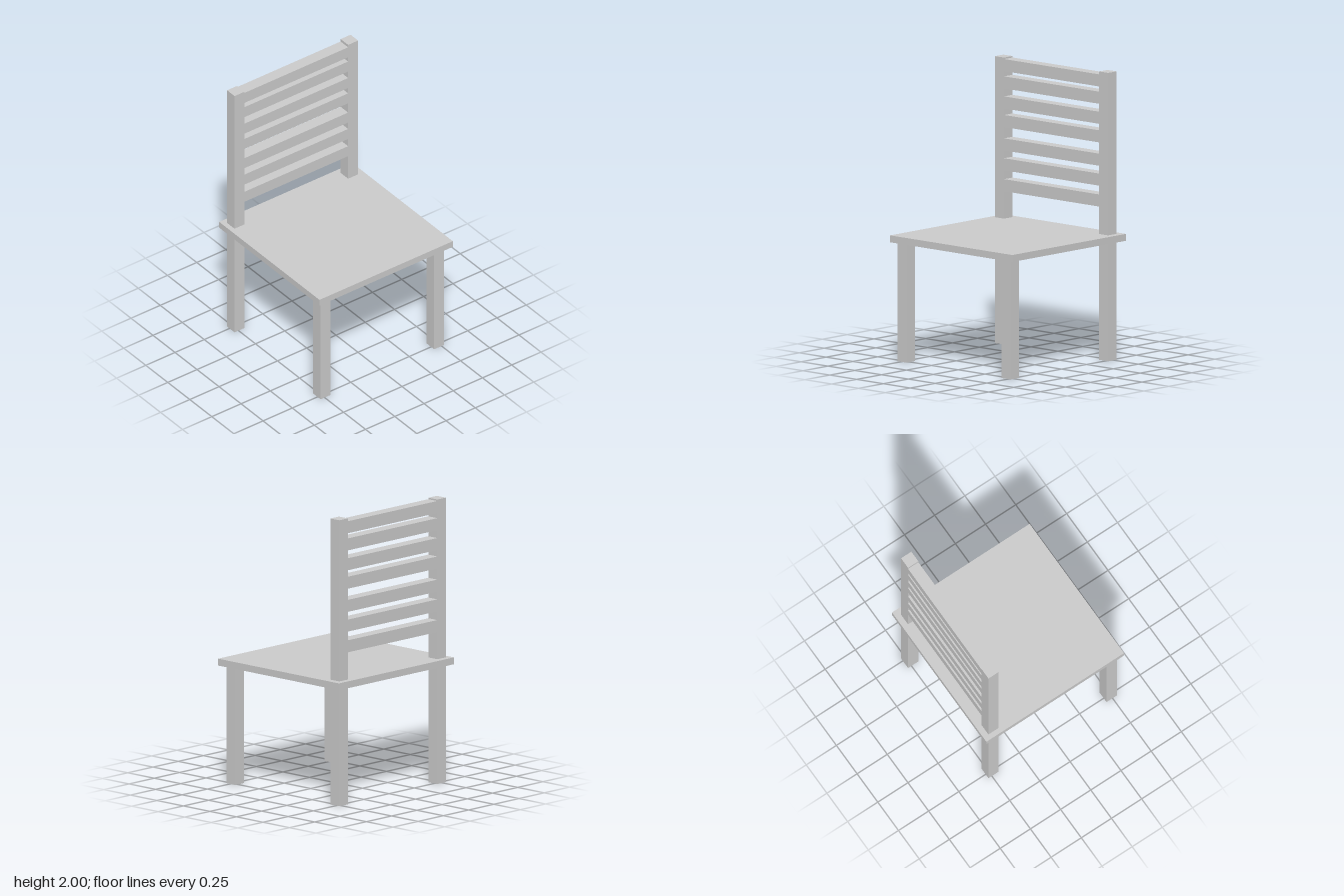
import * as THREE from 'three';

export function createModel() {
  const chair = new THREE.Group();
  chair.name = 'chair';
  const material = new THREE.MeshStandardMaterial({ color: 0xcccccc, flatShading: true });

  // Box given by its extent along each axis
  function addBox(name, [x0, x1], [y0, y1], [z0, z1]) {
    const mesh = new THREE.Mesh(new THREE.BoxGeometry(x1 - x0, y1 - y0, z1 - z0), material);
    mesh.position.set((x0 + x1) / 2, (y0 + y1) / 2, (z0 + z1) / 2);
    mesh.name = name;
    chair.add(mesh);
  }

  const seatBottom = 0.825, seatTop = 0.873;
  const backX = [-0.528, -0.443], frontX = [0.45, 0.535];

  // Seat board
  addBox('seat', [-0.57, 0.57], [seatBottom, seatTop], [-0.57, 0.57]);

  // Legs, with a back post above each leg on the -x side
  const sides = [
    { z: [0.449, 0.534], top: 1.99 },
    { z: [-0.522, -0.437], top: 2 },
  ];
  for (const { z, top } of sides) {
    addBox('frontLeg', frontX, [0, seatBottom], z);
    addBox('backLeg', backX, [0, seatBottom], z);
    addBox('backPost', backX, [seatTop, top], z);
  }

  // Horizontal slats between the posts
  for (const y of [1.105, 1.25, 1.388, 1.55, 1.679, 1.818, 1.938]) {
    addBox('backSlat', backX, [y - 0.042, y + 0.042], [-0.437, 0.449]);
  }

  return chair;
}
